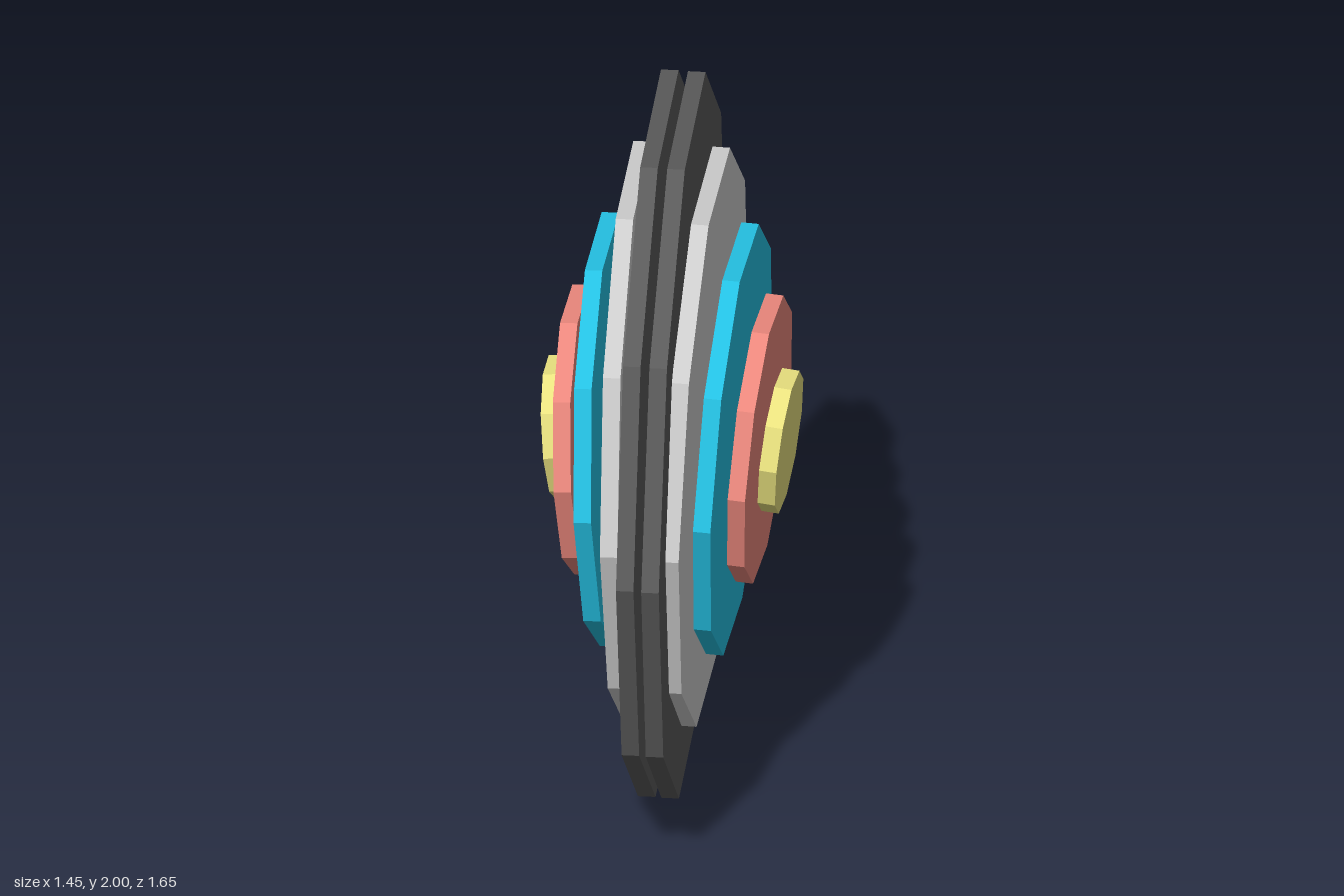
import * as THREE from 'three';

const deg = THREE.MathUtils.degToRad;

// Rings from the inside out: radius, colour, centre offset in x and z,
// then [yaw, pitch] in degrees of the front and back disc
const RINGS = [
  { name: 'dark', radius: 1.04, color: 0x5a5a5a, x: 0.026, z: 0.025, front: [49, 0.3], back: [49, 0] },
  { name: 'grey', radius: 0.83, color: 0xc0c0c0, x: 0.068, z: 0.069, front: [47.4, 1], back: [48.7, 1] },
  { name: 'blue', radius: 0.62, color: 0x24c0e2, x: 0.124, z: 0.126, front: [46.1, 2], back: [47.2, 2.3] },
  { name: 'red', radius: 0.415, color: 0xea877c, x: 0.188, z: 0.169, front: [45, 3], back: [46.5, 3.3] },
  { name: 'yellow', radius: 0.207, color: 0xe8e07e, x: 0.228, z: 0.215, front: [44, 5], back: [47, 6] },
];

// Ten-sided plate whose axis is local z
function makeDisc(ring, side, [yaw, pitch]) {
  const geometry = new THREE.CylinderGeometry(ring.radius, ring.radius, 0.05, 10);
  geometry.rotateX(Math.PI / 2);
  geometry.rotateZ(deg(16));
  const material = new THREE.MeshStandardMaterial({ color: ring.color, flatShading: true });
  const disc = new THREE.Mesh(geometry, material);
  disc.position.set(side * ring.x, 1, side * ring.z);
  disc.rotation.set(deg(side * pitch), deg(yaw), 0, 'YXZ');
  return disc;
}

export function createModel() {
  const model = new THREE.Group();
  model.name = 'layeredTarget';

  // Stack of shrinking discs on both faces, each leaning a little more
  for (const ring of RINGS) {
    const front = makeDisc(ring, 1, ring.front);
    front.name = `${ring.name}FrontDisc`;
    const back = makeDisc(ring, -1, ring.back);
    back.name = `${ring.name}BackDisc`;
    model.add(front, back);
  }
  return model;
}
